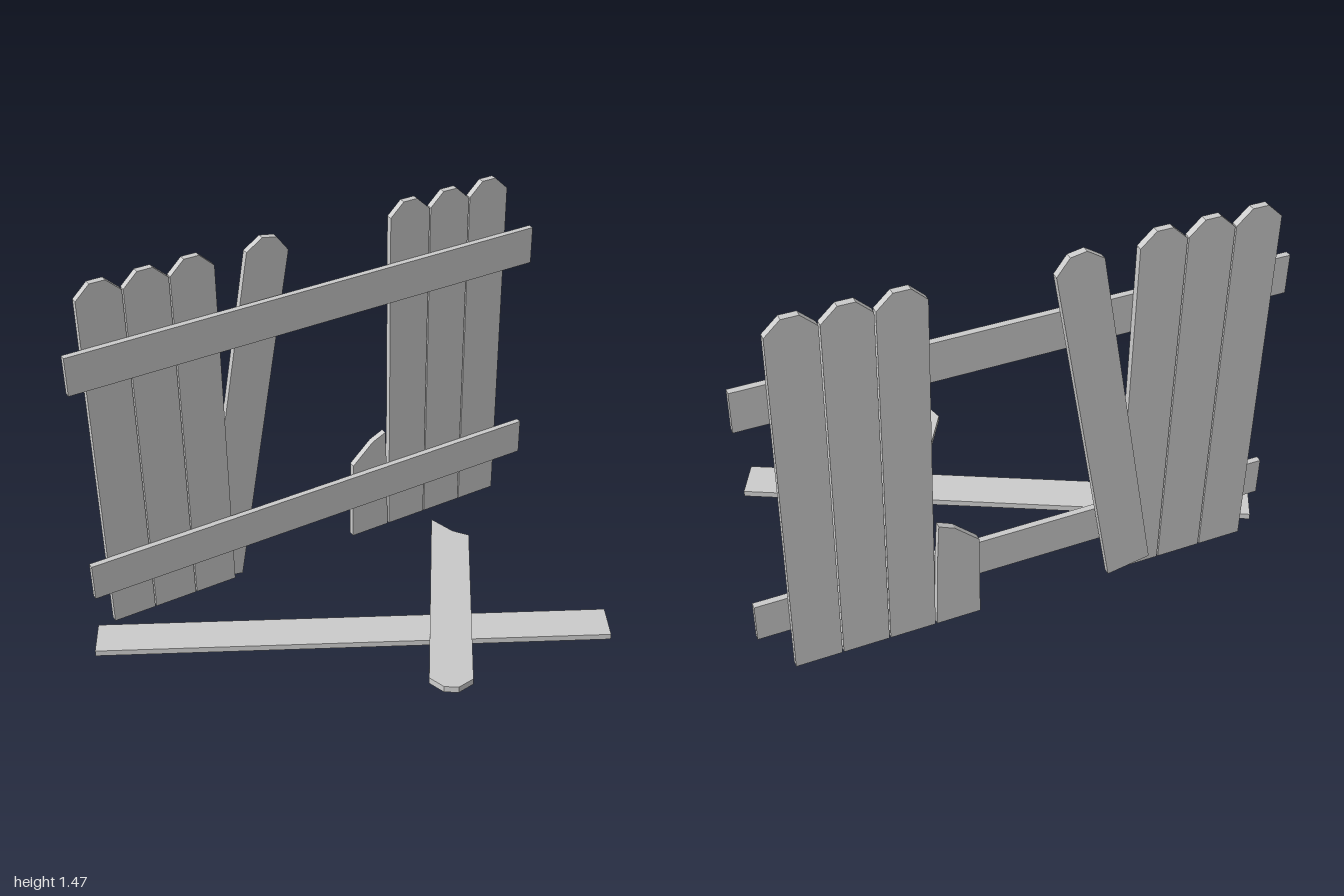
import * as THREE from 'three';

const material = new THREE.MeshStandardMaterial({ color: 0xcccccc, flatShading: true });

// Flat board cut to an outline in x/y; its back face sits on z = 0
function board(name, outline, thickness = 0.025) {
  const shape = new THREE.Shape(outline.map(([x, y]) => new THREE.Vector2(x, y)));
  const geometry = new THREE.ExtrudeGeometry(shape, { depth: thickness, bevelEnabled: false });
  const mesh = new THREE.Mesh(geometry, material);
  mesh.name = name;
  return mesh;
}

// Picket with clipped top corners, standing on y = 0
const picketOutline = [
  [-0.084, 0], [0.084, 0], [0.084, 1.4], [0.029, 1.453], [-0.029, 1.453], [-0.084, 1.4],
];

function plank(name, length, width, thickness) {
  const mesh = new THREE.Mesh(new THREE.BoxGeometry(length, width, thickness), material);
  mesh.name = name;
  return mesh;
}

export function createModel() {
  const group = new THREE.Group();
  group.name = 'brokenFence';

  // Upright pickets, three on each side of the gap
  for (const start of [-0.776, 0.451]) {
    for (let i = 0; i < 3; i++) {
      const picket = board('picket', picketOutline);
      picket.position.set(start + i * 0.173, 0.02, -0.538);
      group.add(picket);
    }
  }

  // Loose picket leaning behind the others
  const leaning = board('leaningPicket', picketOutline);
  leaning.position.set(-0.389, 0.036, -0.551);
  leaning.rotation.z = -0.184;
  group.add(leaning);

  // Snapped stump still fixed to the lower rail
  const stump = board('picketStump', [
    [0.195, 0.02], [0.361, 0.02], [0.355, 0.32], [0.348, 0.482], [0.29, 0.455], [0.2, 0.37],
  ]);
  stump.position.z = -0.538;
  group.add(stump);

  // Two horizontal rails across the front
  for (const y of [0.254, 1.158]) {
    const rail = plank('rail', 1.93, 0.152, 0.023);
    rail.position.set(0.032, y, -0.5015);
    group.add(rail);
  }

  // Fallen rail lying on the ground
  const fallenRail = plank('fallenRail', 1.95, 0.024, 0.148);
  fallenRail.position.set(-0.1, 0.023, 0.0135);
  fallenRail.rotation.set(0, -0.472, -0.0095);
  group.add(fallenRail);

  // Broken-off picket top resting across the fallen rail, origin at its shoulders
  const fallenPicket = board('fallenPicket', [
    [-0.08, 0], [-0.028, 0.048], [0.026, 0.048], [0.08, 0],
    [0.076, -1.047], [-0.011, -0.964], [-0.078, -0.935],
  ]);
  const across = new THREE.Vector3(-0.844, 0, -0.537).normalize();
  const along = new THREE.Vector3(-0.536, 0.072, 0.842).normalize();
  const up = new THREE.Vector3().crossVectors(across, along);
  fallenPicket.quaternion.setFromRotationMatrix(new THREE.Matrix4().makeBasis(across, along, up));
  fallenPicket.position.set(0.032, 0.076, 0.487);
  group.add(fallenPicket);

  return group;
}
